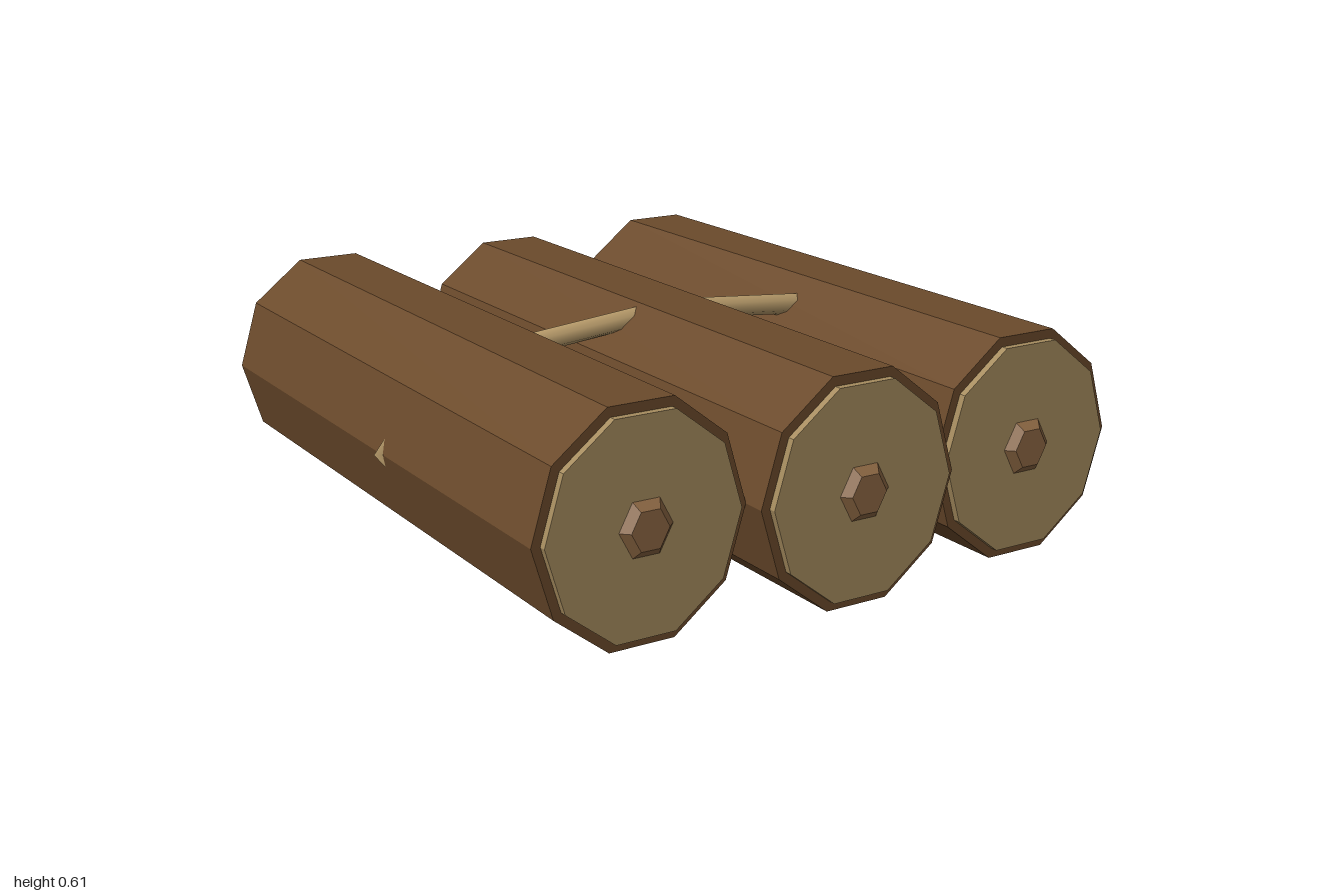
import * as THREE from 'three';

const bark = new THREE.MeshStandardMaterial({ color: 0x6b4a2b });
const cutWood = new THREE.MeshStandardMaterial({ color: 0xa68c5f });
const heartwood = new THREE.MeshStandardMaterial({ color: 0x8c6743 });
const ropeTan = new THREE.MeshStandardMaterial({ color: 0xb99c6b });

const MID_Y = 0.305;
const HALF = 0.925;   // half length of a log
const STRETCH = 1.08; // logs are slightly taller than wide

// Faceted prism or frustum along z, with corners on the x axis
function prism(rFront, rBack, length, sides) {
  const g = new THREE.CylinderGeometry(rFront, rBack, length, sides, 1, false, Math.PI / 2)
    .rotateX(Math.PI / 2)
    .scale(1, STRETCH, 1)
    .toNonIndexed();
  g.computeVertexNormals();
  return g;
}

function addMesh(parent, name, geometry, material, z = 0) {
  const mesh = new THREE.Mesh(geometry, material);
  mesh.name = name;
  mesh.position.z = z;
  parent.add(mesh);
  return mesh;
}

function makeLog(name, x, z) {
  const log = new THREE.Group();
  log.name = name;
  log.position.set(x, MID_Y, z);
  addMesh(log, 'trunk', prism(0.297, 0.297, HALF * 2, 10), bark);

  // Cut end and raised core, front and back
  for (const [side, s] of [['front', 1], ['back', -1]]) {
    const end = new THREE.Group();
    end.name = side + 'End';
    end.rotation.y = s > 0 ? 0 : Math.PI;
    addMesh(end, 'cutFace', prism(0.272, 0.272, 0.04, 10), cutWood, HALF);
    addMesh(end, 'core', prism(0.053, 0.076, 0.022, 6), heartwood, HALF + 0.03);
    log.add(end);
  }
  return log;
}

export function createModel() {
  const raft = new THREE.Group();
  raft.name = 'logRaft';

  // Three logs, the middle one shifted forward
  raft.add(makeLog('rightLog', -0.592, -0.034));
  raft.add(makeLog('middleLog', 0, 0.034));
  raft.add(makeLog('leftLog', 0.592, -0.034));

  // Rope loop lashed around all logs, mostly sunk into them
  const loop = new THREE.TorusGeometry(0.275, 0.03, 6, 12).scale(2.98, 1, 1);
  const rope = addMesh(raft, 'ropeLashing', loop, ropeTan, 0.068);
  rope.position.y = MID_Y;

  return raft;
}
